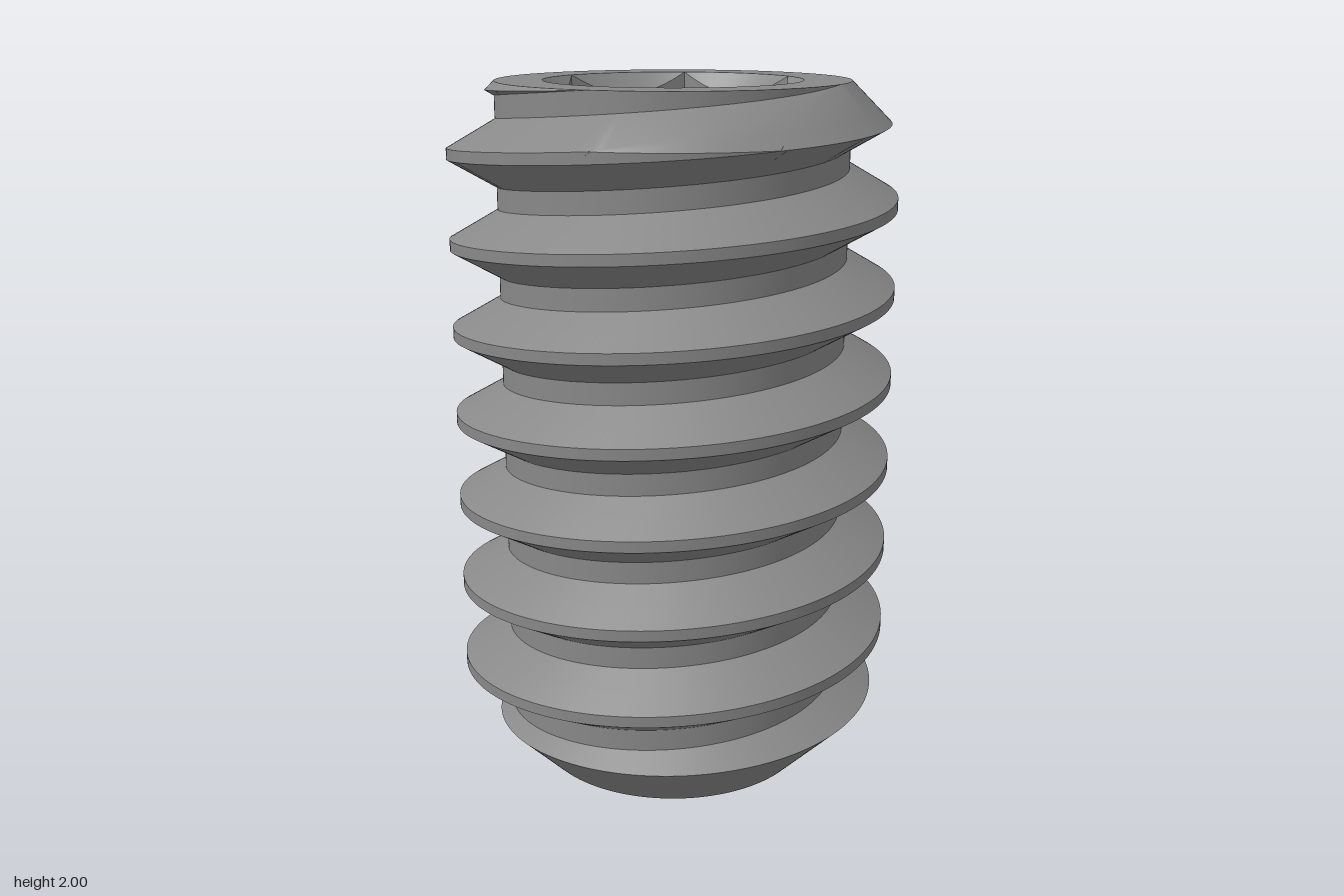
import * as THREE from 'three';
import { toCreasedNormals } from 'three/addons/utils/BufferGeometryUtils.js';

const SEGMENTS = 192;
const HEIGHT = 2, PITCH = 0.25;
const ROOT = 0.494, CREST = 0.63, TIP = 0.405;
const CREST_HALF = 0.0156, FLANK = (CREST - ROOT) * Math.tan(Math.PI / 6);
const SOCKET = 0.361, SOCKET_DEPTH = 0.63;

const steel = new THREE.MeshStandardMaterial({ color: 0x888888 });

// Skin a profile that may change with the angle; points are [radius, y],
// ordered so that the outside lies to the right when going up.
function loft(name, profile) {
  const rings = [];
  for (let i = 0; i <= SEGMENTS; i++) {
    const a = (i / SEGMENTS) * Math.PI * 2;
    rings.push(profile(a).map(([r, y]) => new THREE.Vector3(-r * Math.sin(a), y, -r * Math.cos(a))));
  }
  const positions = [];
  const triangle = (a, b, c) => {
    const area = b.clone().sub(a).cross(c.clone().sub(a)).length();
    if (area > 1e-9) for (const p of [a, b, c]) positions.push(p.x, p.y, p.z);
  };
  for (let i = 0; i < SEGMENTS; i++) {
    const p = rings[i], q = rings[i + 1];
    for (let k = 0; k < p.length - 1; k++) {
      triangle(p[k], q[k], q[k + 1]);
      triangle(p[k], q[k + 1], p[k + 1]);
    }
  }
  const geometry = new THREE.BufferGeometry();
  geometry.setAttribute('position', new THREE.Float32BufferAttribute(positions, 3));
  const mesh = new THREE.Mesh(toCreasedNormals(geometry, 0.5), steel);
  mesh.name = name;
  return mesh;
}

// Largest radius allowed by the bevels at the two ends
const bevel = (y) => Math.min(TIP + y * 0.99, ROOT + HEIGHT - y);

// Thread profile at one angle, trimmed by the end bevels
function threadProfile(a) {
  const knots = [];
  for (let turn = -2; turn <= 9; turn++) {
    const y = 0.004 + PITCH * (turn + a / (Math.PI * 2));
    knots.push(
      [ROOT, y - CREST_HALF - FLANK], [CREST, y - CREST_HALF],
      [CREST, y + CREST_HALF], [ROOT, y + CREST_HALF + FLANK]
    );
  }
  const points = [];
  const clampY = (y) => THREE.MathUtils.clamp(y, 0, HEIGHT);
  for (let k = 0; k < knots.length - 1; k++) {
    const [r0, y0] = knots[k], [r1, y1] = knots[k + 1];
    const radius = (y) => Math.max(ROOT, r0 + ((r1 - r0) * (y - y0)) / (y1 - y0));
    const ya = clampY(y0), yb = clampY(y1);
    const over0 = radius(ya) - bevel(ya), over1 = radius(yb) - bevel(yb);
    // The middle point sits exactly where the thread meets the bevel
    const t = over0 * over1 < 0 ? over0 / (over0 - over1) : 0.5;
    const ym = ya + (yb - ya) * t;
    for (const y of k ? [ym, yb] : [ya, ym, yb]) {
      points.push([Math.min(radius(y), bevel(y)), y]);
    }
  }
  return points;
}

// Radius of the hexagon, with corners on the x axis
function hexRadius(a) {
  const sector = Math.PI / 3;
  const local = (((a - Math.PI / 2) % sector) + sector) % sector;
  return (SOCKET * Math.cos(sector / 2)) / Math.cos(local - sector / 2);
}

export function createModel() {
  const group = new THREE.Group();
  group.name = 'setScrew';

  const rimY = (r) => HEIGHT - (SOCKET - r) * 1.2;
  const floorY = (r) => HEIGHT - SOCKET_DEPTH - (SOCKET - r) * 0.577;

  group.add(
    loft('tipFace', () => [[0, 0], [TIP, 0]]),
    loft('threadedBody', threadProfile),
    loft('topFace', () => [[ROOT, HEIGHT], [SOCKET, HEIGHT]]),
    // Conical lead-in that leaves a scallop above each flat
    loft('socketChamfer', (a) => {
      const r = hexRadius(a);
      return [[SOCKET, HEIGHT], [r, rimY(r)]];
    }),
    loft('socketWalls', (a) => {
      const r = hexRadius(a);
      return [[r, rimY(r)], [r, floorY(r)]];
    }),
    // Drilled cone at the bottom of the socket
    loft('socketFloor', (a) => {
      const r = hexRadius(a);
      return [[r, floorY(r)], [0, floorY(0)]];
    })
  );
  return group;
}
